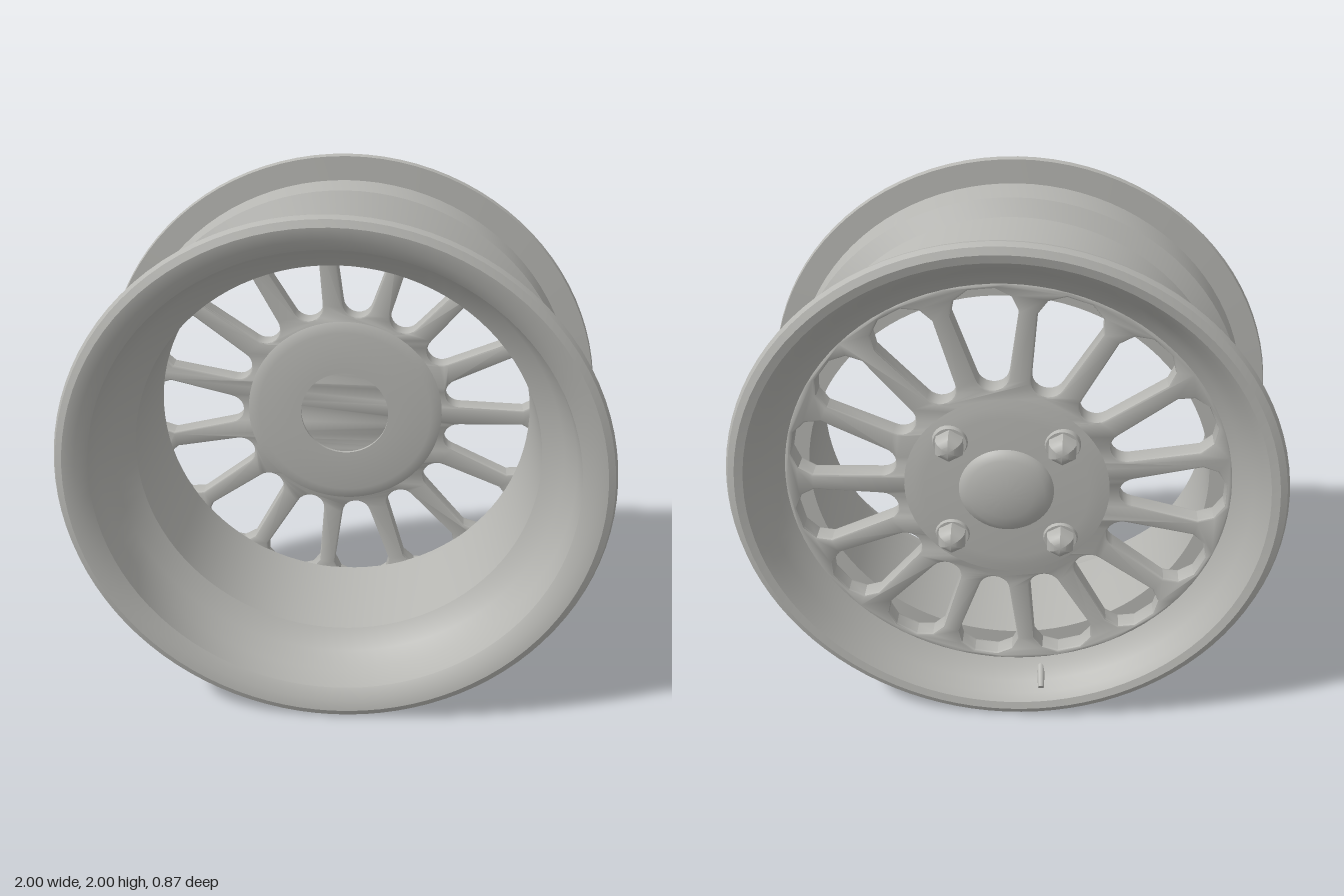
import * as THREE from 'three';
import { toCreasedNormals } from 'three/addons/utils/BufferGeometryUtils.js';

const SPOKES = 15;

export function createModel() {
  const metal = new THREE.MeshStandardMaterial({ name: 'grey metal', color: 0xb6b6b2 });
  const wheel = new THREE.Group();
  wheel.name = 'wheelRim';
  wheel.position.y = 1;

  const add = (name, geo, parent = wheel) => {
    const mesh = new THREE.Mesh(geo, metal);
    mesh.name = name;
    parent.add(mesh);
    return mesh;
  };

  // Profile of [radius, z] pairs turned around the z axis
  const turned = (profile, segments = 96, crease = 0.5) => {
    const geo = new THREE.LatheGeometry(profile.map(p => new THREE.Vector2(...p)), segments);
    geo.rotateX(Math.PI / 2);
    return toCreasedNormals(geo, crease);
  };

  // Rim: dish, outer lip, drop-centre barrel, inner lip and bore
  add('rimBarrel', turned([
    [0.80, -0.30], [0.84, -0.325], [0.88, -0.365], [0.91, -0.405], [0.935, -0.428],
    [0.965, -0.435], [0.99, -0.425], [1, -0.405], [0.995, -0.385],
    [0.905, -0.38], [0.895, -0.27], [0.755, -0.20], [0.755, -0.11],
    [0.835, 0.22], [0.895, 0.26], [0.905, 0.38],
    [0.995, 0.385], [1, 0.405], [0.99, 0.425], [0.965, 0.435], [0.92, 0.428], [0.88, 0.40],
    [0.87, 0.30], [0.83, 0.23], [0.755, 0.18], [0.735, -0.20],
    [0.735, -0.235], [0.80, -0.235], [0.80, -0.30],
  ]));

  // Spoke plate: disc with slots, rounded inside and faceted outside
  const plate = new THREE.Shape().absarc(0, 0, 0.815, 0, Math.PI * 2);
  const slot = [[0.70, -0.116], [0.755, -0.098], [0.79, -0.045], [0.79, 0.045], [0.755, 0.098], [0.70, 0.116]];
  for (let i = 0; i <= 10; i++) {
    const a = Math.PI * (0.56 + 0.88 * i / 10);
    slot.push([0.468 + 0.058 * Math.cos(a), 0.058 * Math.sin(a)]);
  }
  for (let i = 0; i < SPOKES; i++) {
    const a = (i + 0.5) * Math.PI * 2 / SPOKES;
    plate.holes.push(new THREE.Path(slot.map(([x, y]) => new THREE.Vector2(
      x * Math.cos(a) - y * Math.sin(a), x * Math.sin(a) + y * Math.cos(a)))));
  }
  const spokes = new THREE.ExtrudeGeometry(plate, {
    depth: 0.055, curveSegments: 48, bevelEnabled: true,
    bevelThickness: 0.01, bevelSize: 0.008, bevelOffset: -0.008, bevelSegments: 2,
  });
  spokes.translate(0, 0, -0.298);
  add('spokes', toCreasedNormals(spokes, 0.6));

  // Hub: raised on both faces, with a round recess on the inside
  add('hub', turned([
    [0, -0.318], [0.30, -0.318], [0.34, -0.314], [0.385, -0.306], [0.40, -0.29],
    [0.40, -0.24], [0.385, -0.231], [0.345, -0.222], [0.175, -0.222], [0.175, -0.255], [0, -0.255],
  ], 64));

  // Domed centre cap
  add('centreCap', turned([
    [0, -0.362], [0.05, -0.36], [0.10, -0.353], [0.14, -0.342], [0.165, -0.33], [0.175, -0.315],
  ], 48, 0.7));

  // Four lug nuts: collar, hexagonal body and domed tip
  for (const sx of [-1, 1]) for (const sy of [-1, 1]) {
    const nut = new THREE.Group();
    nut.name = 'lugNut';
    nut.position.set(sx * 0.2, sy * 0.2, 0);
    add('nutCollar', turned([[0, -0.33], [0.06, -0.33], [0.066, -0.312]], 24), nut);
    add('nutBody', turned([
      [0, -0.395], [0.025, -0.392], [0.045, -0.38], [0.056, -0.362], [0.056, -0.32],
    ], 6), nut);
    wheel.add(nut);
  }

  // Valve stem, running slanted through the dish
  const from = new THREE.Vector3(-0.13, -0.79, -0.215);
  const to = new THREE.Vector3(-0.14, -0.875, -0.40);
  const valve = add('valveStem', new THREE.CylinderGeometry(0.012, 0.02, from.distanceTo(to), 12));
  valve.position.copy(from).lerp(to, 0.5);
  valve.quaternion.setFromUnitVectors(new THREE.Vector3(0, 1, 0), to.clone().sub(from).normalize());

  return wheel;
}
